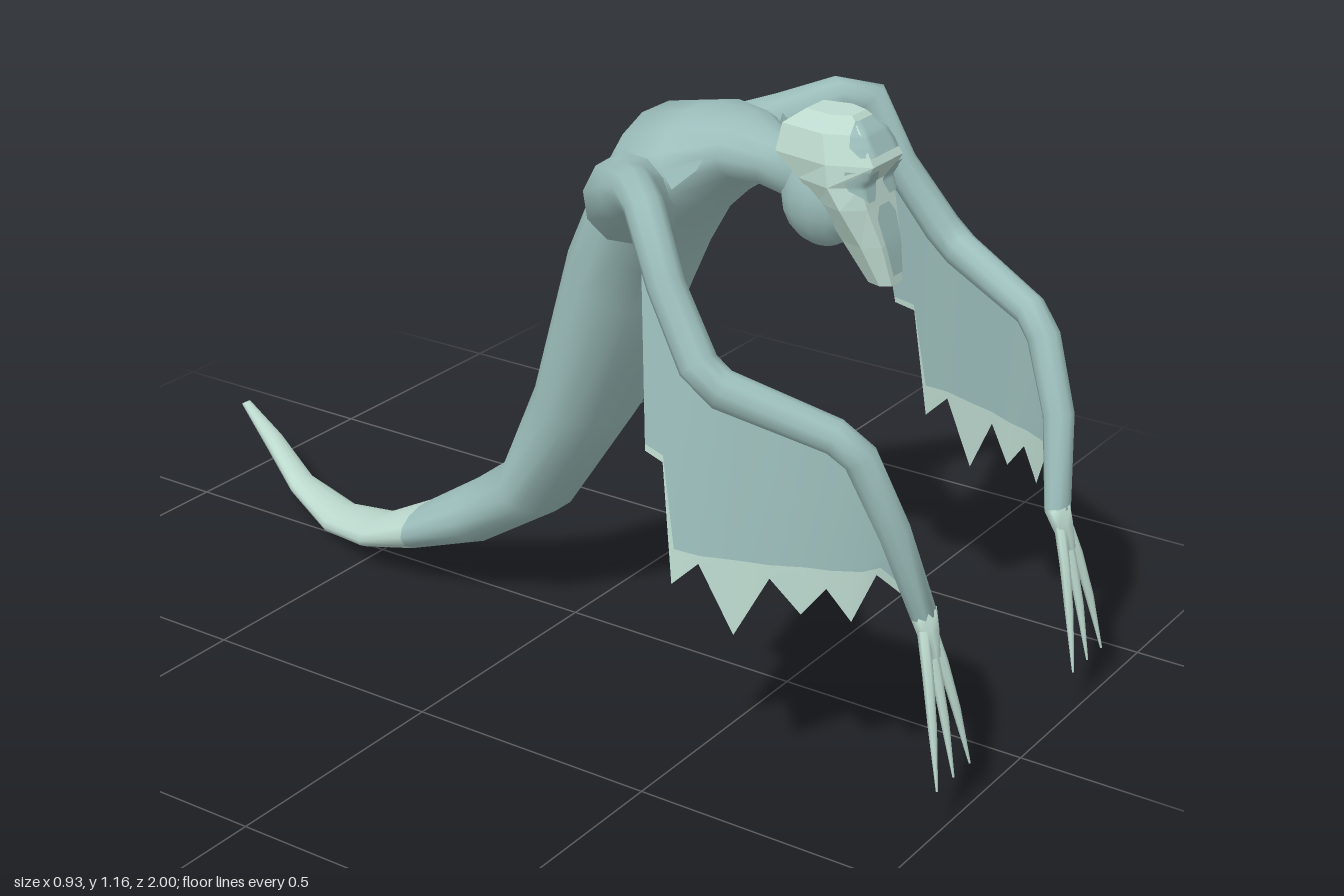
import * as THREE from 'three';

const V = (x, y, z) => new THREE.Vector3(x, y, z);
const lerp = THREE.MathUtils.lerp;

// Skin a list of equal-length closed rings; rows from splitRow on use material 1
function loft(rings, splitRow = Infinity) {
  const n = rings[0].length, pos = [], idx = [];
  rings.forEach(r => r.forEach(p => pos.push(p.x, p.y, p.z)));
  for (let i = 1; i < n - 1; i++) idx.push(0, i, i + 1);
  let split = -1;
  for (let r = 0; r < rings.length - 1; r++) {
    if (r === splitRow) split = idx.length;
    for (let i = 0; i < n; i++) {
      const a = r * n + i, b = r * n + (i + 1) % n;
      idx.push(a, a + n, b, b, a + n, b + n);
    }
  }
  const e = (rings.length - 1) * n;
  for (let i = 1; i < n - 1; i++) idx.push(e, e + i + 1, e + i);
  const g = finish(pos, idx);
  if (split > 0) {
    g.addGroup(0, split, 0);
    g.addGroup(split, idx.length - split, 1);
  }
  return g;
}

function finish(pos, idx) {
  const g = new THREE.BufferGeometry();
  g.setAttribute('position', new THREE.Float32BufferAttribute(pos, 3));
  g.setIndex(idx);
  g.computeVertexNormals();
  return g;
}

function ellipse(c, u, v, n) {
  return Array.from({ length: n }, (_, i) => {
    const a = i / n * Math.PI * 2;
    return c.clone().addScaledVector(u, Math.cos(a)).addScaledVector(v, Math.sin(a));
  });
}

// Tapered limb through [x, y, z, radius] joints, with a transported frame
function limb(joints, side, n) {
  const p = joints.map(j => V(j[0] * side, j[1], j[2]));
  let v = V(0.1, 0.3, 1);
  return loft(p.map((c, i) => {
    const d = p[Math.min(i + 1, p.length - 1)].clone().sub(p[Math.max(i - 1, 0)]).normalize();
    v = v.clone().addScaledVector(d, -v.dot(d)).normalize();
    const u = v.clone().cross(d).negate();
    const r = joints[i][3];
    return ellipse(c, u.multiplyScalar(r), v.clone().multiplyScalar(r), n);
  }));
}

// Grid of point rows; the last row band uses material 1 when split is set
function sheet(rows, split) {
  const n = rows[0].length, pos = [], idx = [];
  rows.forEach(r => r.forEach(p => pos.push(p.x, p.y, p.z)));
  for (let r = 0; r < rows.length - 1; r++)
    for (let i = 0; i < n - 1; i++) {
      const a = r * n + i;
      idx.push(a, a + n, a + 1, a + 1, a + n, a + n + 1);
    }
  const g = finish(pos, idx);
  if (split) {
    const k = (rows.length - 2) * (n - 1) * 6;
    g.addGroup(0, k, 0);
    g.addGroup(k, idx.length - k, 1);
  }
  return g;
}

// Mask sections: y, half width, front z, back z
const MASK = [
  [1.167, 0.04, 0.61, 0.52], [1.14, 0.07, 0.64, 0.485], [1.09, 0.087, 0.672, 0.48],
  [1.05, 0.09, 0.65, 0.53], [1.01, 0.084, 0.662, 0.57], [0.94, 0.056, 0.685, 0.61],
  [0.867, 0.032, 0.70, 0.655],
];

function maskZ(x, y) {
  let i = 0;
  while (i < MASK.length - 2 && y < MASK[i + 1][0]) i++;
  const a = MASK[i], b = MASK[i + 1], t = (a[0] - y) / (a[0] - b[0]);
  const [w, f, k] = [1, 2, 3].map(j => lerp(a[j], b[j], t));
  return f - Math.max(0, Math.abs(x) / w - 0.6) / 0.4 * 0.4 * (f - k);
}

// Thin patch following the mask front, given rows of [y, x0, x1]
function facePatch(rows) {
  const out = [];
  rows.forEach((r, i) => {
    const steps = i < rows.length - 1 ? 4 : 1, q = rows[i + 1] || r;
    for (let s = 0; s < steps; s++) {
      const [y, a, b] = r.map((m, j) => lerp(m, q[j], s / 4));
      out.push(Array.from({ length: 9 }, (_, k) => {
        const x = lerp(a, b, k / 8);
        return V(x, y, maskZ(x, y) + 0.005);
      }));
    }
  });
  return sheet(out);
}

export function createModel() {
  const model = new THREE.Group();
  model.name = 'wraith';
  const skin = new THREE.MeshStandardMaterial({ color: 0x9cbebb, side: THREE.DoubleSide });
  const pale = new THREE.MeshStandardMaterial({ color: 0xbddacf, side: THREE.DoubleSide });
  skin.name = 'greyTealSkin';
  pale.name = 'paleBone';
  const bone = pale.clone();
  bone.flatShading = true;
  bone.name = 'paleBoneFaceted';
  const add = (name, geo, mat, parent = model) => {
    const m = new THREE.Mesh(geo, mat);
    m.name = name;
    parent.add(m);
  };

  // Neck, torso and curling tail: back y, z, belly y, z, centre x, half width
  const spine = [
    [1.08, 0.53, 0.98, 0.51, 0, 0.05], [1.10, 0.45, 1.00, 0.43, 0, 0.06],
    [1.125, 0.38, 1.01, 0.385, 0, 0.11], [1.125, 0.28, 0.96, 0.36, 0, 0.185],
    [1.105, 0.18, 0.90, 0.30, 0, 0.20], [0.98, 0.105, 0.80, 0.25, 0, 0.185],
    [0.84, 0.04, 0.72, 0.22, 0, 0.172], [0.53, -0.05, 0.46, 0.12, 0, 0.145],
    [0.32, -0.14, 0.23, -0.03, 0, 0.122], [0.25, -0.23, 0.13, -0.19, -0.03, 0.10],
    [0.17, -0.35, 0.08, -0.34, -0.04, 0.09], [0.10, -0.48, 0.04, -0.48, -0.03, 0.073],
    [0.055, -0.64, 0.003, -0.64, 0.03, 0.057], [0.065, -0.79, 0.03, -0.80, 0.085, 0.036],
    [0.125, -0.90, 0.085, -0.91, 0.125, 0.025], [0.18, -0.985, 0.172, -1.0, 0.133, 0.011],
  ];
  add('bodyAndTail', loft(spine.map(([ty, tz, by, bz, x, w]) =>
    ellipse(V(x, (ty + by) / 2, (tz + bz) / 2), V(w, 0, 0),
      V(0, (ty - by) / 2, (tz - bz) / 2), 14)), 10), [skin, pale]);

  // Head: round skull behind a faceted bone mask with sunken patches
  const head = new THREE.Group();
  head.name = 'head';
  model.add(head);
  const skull = new THREE.SphereGeometry(1, 14, 10);
  skull.scale(0.074, 0.095, 0.085).translate(0, 1.005, 0.55);
  add('skull', skull, skin, head);
  add('mask', loft(MASK.map(([y, w, f, b]) => {
    const m = lerp(f, b, 0.4);
    return [[0.6, f], [1, m], [0.75, b], [-0.75, b], [-1, m], [-0.6, f]]
      .map(([k, z]) => V(k * w, y, z));
  })), bone, head);
  add('forehead', facePatch([[1.16, -0.03, 0.03], [1.14, -0.052, 0.052],
    [1.12, -0.06, 0.06], [1.105, -0.058, 0.058]]), skin, head);
  add('noseAndMouth', facePatch([[1.01, -0.017, 0.017], [0.99, -0.032, 0.032],
    [0.95, -0.028, 0.028], [0.885, -0.016, 0.016]]), skin, head);

  // Membrane columns: arm point, hem point
  const hem = [
    [0.385, 1.0, 0.41, 0.44, 0.64, 0.46], [0.41, 0.90, 0.49, 0.445, 0.63, 0.50],
    [0.415, 0.85, 0.53, 0.458, 0.41, 0.53], [0.42, 0.80, 0.58, 0.45, 0.46, 0.58],
    [0.41, 0.78, 0.63, 0.435, 0.335, 0.645], [0.39, 0.76, 0.70, 0.41, 0.45, 0.70],
    [0.37, 0.74, 0.76, 0.385, 0.385, 0.75], [0.35, 0.70, 0.82, 0.37, 0.44, 0.79],
    [0.325, 0.62, 0.86, 0.35, 0.38, 0.83], [0.30, 0.53, 0.89, 0.325, 0.47, 0.86],
    [0.27, 0.42, 0.915, 0.285, 0.42, 0.90],
  ];

  for (const s of [1, -1]) {
    const eye = [[1.08, 0.03, 0.075], [1.06, 0.014, 0.075], [1.045, 0.012, 0.07], [1.022, 0.025, 0.045]];
    add(s > 0 ? 'leftEye' : 'rightEye',
      facePatch(eye.map(([y, a, b]) => s > 0 ? [y, a, b] : [y, -b, -a])), skin, head);

    const arm = new THREE.Group();
    arm.name = s > 0 ? 'leftArm' : 'rightArm';
    model.add(arm);
    add('arm', limb([
      [0.08, 0.97, 0.22, 0.09], [0.19, 0.99, 0.25, 0.083], [0.27, 1.035, 0.305, 0.053],
      [0.345, 1.07, 0.37, 0.04], [0.385, 1.065, 0.415, 0.036], [0.405, 0.94, 0.475, 0.034],
      [0.43, 0.82, 0.56, 0.036], [0.425, 0.785, 0.605, 0.036], [0.36, 0.722, 0.79, 0.032],
      [0.34, 0.685, 0.83, 0.032], [0.31, 0.55, 0.885, 0.03], [0.258, 0.385, 0.92, 0.025],
    ], s, 10), skin, arm);
    // Small pointed fold at the front of the shoulder
    add('shoulderFold', sheet([[V(0.13 * s, 1.07, 0.37), V(0.205 * s, 1.065, 0.33)],
      [V(0.15 * s, 1.055, 0.37), V(0.215 * s, 1.035, 0.36)]]), skin, arm);

    // Ragged membrane with a pale hem
    const rows = [0, 0.5, 1].map(t => hem.map(([x, y, z, a, b, c]) => {
      const m = Math.min(1, (y - Math.max(b + 0.012, 0.475)) / (y - b));
      const k = t < 1 ? t * 2 * Math.max(m, 0.2) : 1;
      return V(s * lerp(x, a, k), lerp(y, b, k), lerp(z, c, k));
    }));
    add('membrane', sheet(rows, true), [skin, pale], arm);

    // Hand with three long claws
    add('palm', limb([[0.258, 0.39, 0.919, 0.026], [0.26, 0.355, 0.932, 0.021],
      [0.263, 0.31, 0.948, 0.012]], s, 8), pale, arm);
    for (const k of [-1, 0, 1])
      add('claw', limb([
        [0.262 + 0.012 * k, 0.36, 0.93, 0.011], [0.264 + 0.027 * k, 0.29, 0.952, 0.010],
        [0.265 + 0.043 * k, 0.20, 0.975, 0.008], [0.265 + 0.06 * k, 0.09, 0.999, 0.002],
      ], s, 6), pale, arm);
  }
  return model;
}
